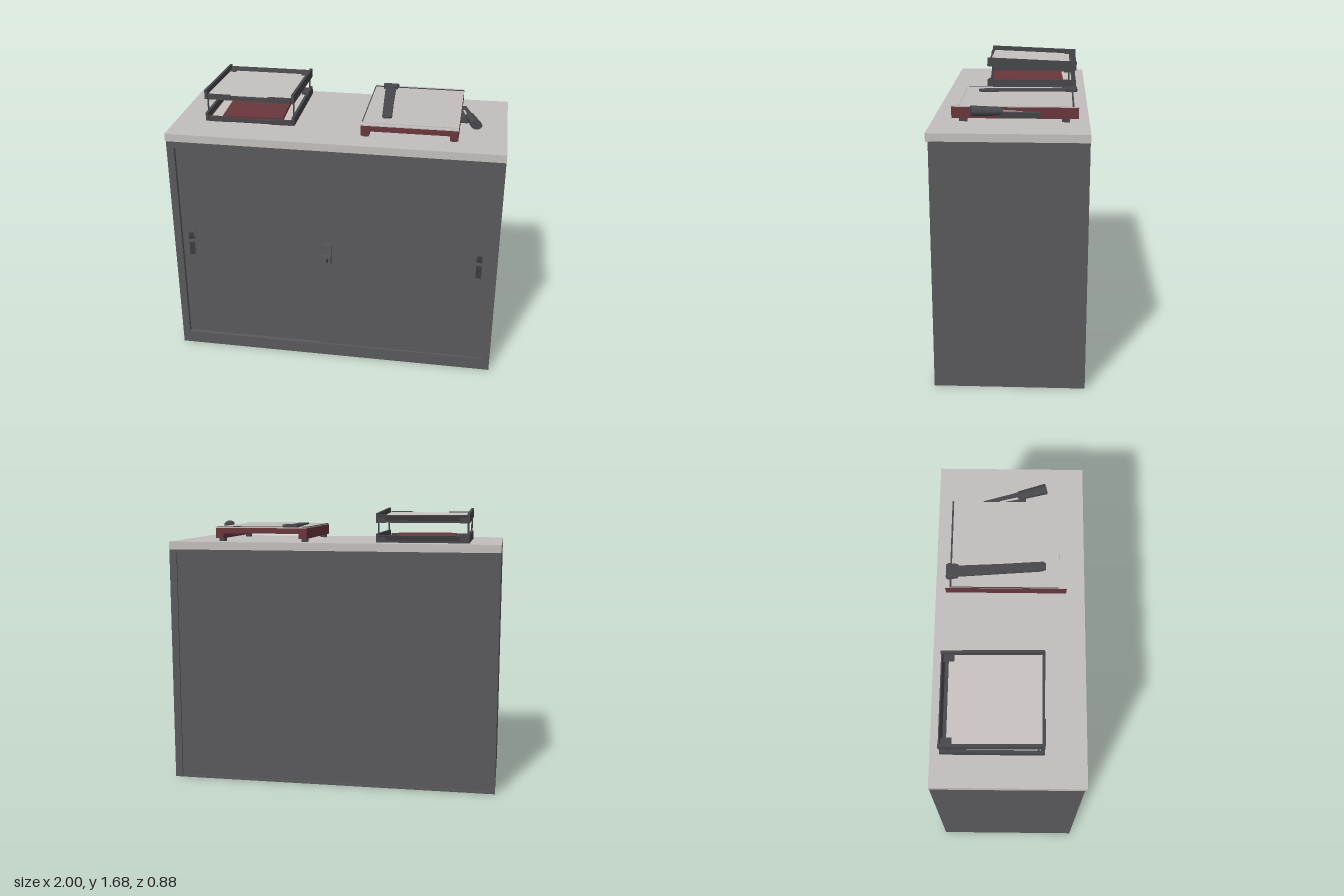
import * as THREE from 'three';

const mat = (name, color) => new THREE.MeshStandardMaterial({ name, color });

export function createModel() {
  const model = new THREE.Group();
  model.name = 'officeCabinet';
  const steel = mat('cabinet steel', 0x5a595b);
  const recess = mat('dark recess', 0x3c3c3f);
  const plastic = mat('tray plastic', 0x48484c);
  const pale = mat('pale worktop', 0xc3bfbd);
  const paper = mat('paper', 0xc8c3c1);
  const red = mat('dark red', 0x6a373c);

  // box given by its low and high corners
  const box = (parent, name, material, x0, x1, y0, y1, z0, z1) => {
    const m = new THREE.Mesh(new THREE.BoxGeometry(x1 - x0, y1 - y0, z1 - z0), material);
    m.position.set((x0 + x1) / 2, (y0 + y1) / 2, (z0 + z1) / 2);
    m.name = name;
    parent.add(m);
    return m;
  };
  const group = (name) => {
    const g = new THREE.Group();
    g.name = name;
    model.add(g);
    return g;
  };
  // flat outline in x and z, raised from y0 by a thickness
  const slab = (parent, name, material, points, y0, thickness) => {
    const shape = new THREE.Shape(points.map(([x, z]) => new THREE.Vector2(x, -z)));
    const g = new THREE.ExtrudeGeometry(shape, { depth: thickness, bevelEnabled: false });
    g.rotateX(-Math.PI / 2);
    const m = new THREE.Mesh(g, material);
    m.position.y = y0;
    m.name = name;
    parent.add(m);
    return m;
  };
  // upright rectangular frame with an opening, facing z
  const frame = (parent, name, material, o, i, z, depth) => {
    const corners = ([x0, x1, y0, y1]) =>
      [[x0, y0], [x1, y0], [x1, y1], [x0, y1]].map((p) => new THREE.Vector2(...p));
    const shape = new THREE.Shape(corners(o));
    shape.holes.push(new THREE.Path(corners(i).reverse()));
    const m = new THREE.Mesh(new THREE.ExtrudeGeometry(shape, { depth, bevelEnabled: false }), material);
    m.position.z = z;
    m.name = name;
    parent.add(m);
  };

  // cabinet carcass, frames, sliding doors and worktop
  const cabinet = group('cabinet');
  box(cabinet, 'carcass', steel, -1, 1, 0, 1.44, -0.425, 0.39);
  frame(cabinet, 'frontFrame', steel, [-1, 1, 0, 1.44], [-0.955, 0.955, 0.08, 1.39], 0.39, 0.033);
  frame(cabinet, 'backFrame', steel, [-1, 1, 0, 1.44], [-0.955, 0.955, 0.012, 1.415], -0.435, 0.01);
  box(cabinet, 'rightDoor', steel, -0.955, -0.085, 0.08, 1.39, 0.38, 0.398);
  box(cabinet, 'leftDoor', steel, -0.085, 0.955, 0.08, 1.39, 0.38, 0.41);
  box(cabinet, 'worktop', pale, -1, 1, 1.438, 1.485, -0.437, 0.437);

  // finger pulls on the outer door edges
  for (const [cx, z] of [[-0.897, 0.398], [0.892, 0.41]]) {
    box(cabinet, 'pullRecess', recess, cx - 0.018, cx + 0.018, 0.655, 0.815, z - 0.002, z + 0.001);
    frame(cabinet, 'pullRim', steel, [cx - 0.025, cx + 0.025, 0.645, 0.825],
      [cx - 0.017, cx + 0.017, 0.657, 0.813], z, 0.004);
    box(cabinet, 'pullGrip', steel, cx - 0.017, cx + 0.017, 0.745, 0.765, z, z + 0.004);
  }

  // lock where the doors meet
  box(cabinet, 'lockPlate', steel, -0.06, -0.004, 0.74, 0.81, 0.405, 0.423);
  box(cabinet, 'lockBody', steel, -0.055, -0.008, 0.68, 0.74, 0.405, 0.438);
  box(cabinet, 'lockSlot', recess, -0.037, -0.025, 0.695, 0.725, 0.437, 0.44);

  // two stacked letter trays
  const trays = group('letterTrays');
  const addTray = (name, y, tilt, height) => {
    const t = new THREE.Group();
    t.name = name;
    t.position.set(-0.54, y, -0.09);
    t.rotation.x = tilt;
    trays.add(t);
    box(t, 'trayFloor', plastic, -0.265, 0.265, 0, 0.012, -0.28, 0.28);
    for (const s of [-1, 1]) {
      const x = s * 0.267;
      box(t, 'traySide', plastic, x - 0.008, x + 0.008, 0, height, -0.29, 0.29);
      box(t, 'frontLip', plastic, s * 0.185 - 0.07, s * 0.185 + 0.07, 0, 0.032, 0.278, 0.292);
      box(t, 'backCorner', plastic, s * 0.24 - 0.022, s * 0.24 + 0.022, 0, 0.034, -0.285, -0.215);
    }
    box(t, 'frontMiddle', plastic, -0.12, 0.12, 0, 0.024, 0.275, 0.287);
    const back = box(t, 'trayBack', plastic, -0.262, 0.262, 0, height * 0.85, -0.28, -0.272);
    back.rotation.x = -0.35;
    return t;
  };
  const lower = addTray('lowerTray', 1.488, 0, 0.052);
  box(lower, 'lowerPaper', paper, -0.25, 0.25, 0.012, 0.016, -0.26, 0.27);
  const folder = box(lower, 'redFolder', red, -0.18, 0.19, 0.016, 0.036, -0.2, 0.272);
  folder.rotation.y = 0.04;
  const upper = addTray('upperTray', 1.616, -0.04, 0.055);
  box(upper, 'paperStack', paper, -0.257, 0.257, 0.012, 0.027, -0.245, 0.274);

  // wire posts between the trays
  for (const x of [-0.805, -0.275]) for (const z of [-0.33, 0.165]) {
    const post = new THREE.Mesh(new THREE.CylinderGeometry(0.005, 0.005, 0.13, 8), plastic);
    post.position.set(x, 1.575, z);
    post.name = 'trayPost';
    trays.add(post);
  }

  // paper cutter base with side rails, feet and pale cutting bed
  const cutter = group('paperCutter');
  box(cutter, 'cutterBase', red, 0.155, 0.72, 1.535, 1.568, -0.378, 0.328);
  for (const x of [0.155, 0.672]) {
    box(cutter, 'cutterRail', red, x, x + 0.048, 1.505, 1.567, -0.377, 0.327);
    for (const z of [-0.33, 0.24])
      box(cutter, 'cutterFoot', plastic, x + 0.008, x + 0.04, 1.485, 1.505, z, z + 0.045);
  }
  box(cutter, 'cuttingBed', pale, 0.155, 0.72, 1.568, 1.574, -0.378, 0.328);
  box(cutter, 'bedBackLine', plastic, 0.155, 0.72, 1.574, 1.577, -0.352, -0.342);
  box(cutter, 'bedSideLine', plastic, 0.155, 0.16, 1.574, 1.577, -0.345, 0.28);
  box(cutter, 'bedFrontRidge', pale, 0.165, 0.715, 1.574, 1.578, 0.285, 0.3);

  // ruler arm lying across the bed
  slab(cutter, 'rulerArm', plastic,
    [[0.222, -0.33], [0.29, -0.33], [0.305, -0.05], [0.322, 0.19], [0.312, 0.207], [0.272, 0.207], [0.262, 0.18]],
    1.574, 0.01);
  slab(cutter, 'rulerHead', plastic,
    [[0.215, -0.375], [0.295, -0.375], [0.305, -0.36], [0.298, -0.305], [0.215, -0.305], [0.205, -0.36]],
    1.574, 0.016);

  // blade lever and grip beside the base
  const lever = slab(cutter, 'bladeLever', plastic,
    [[0.72, -0.16], [0.742, -0.165], [0.8, 0.05], [0.76, 0.09], [0.72, 0.09]], 1.522, 0.03);
  lever.rotation.x = -0.06;
  const edge = slab(cutter, 'leverHighlight', paper,
    [[0.728, -0.07], [0.738, -0.07], [0.762, 0.035], [0.75, 0.045]], 1.552, 0.002);
  edge.rotation.x = -0.06;
  const a = new THREE.Vector3(0.773, 1.557, 0.045);
  const b = new THREE.Vector3(0.816, 1.567, 0.21);
  const grip = new THREE.Mesh(new THREE.CylinderGeometry(0.036, 0.029, a.distanceTo(b), 12), plastic);
  grip.position.copy(a).lerp(b, 0.5);
  grip.quaternion.setFromUnitVectors(new THREE.Vector3(0, 1, 0), b.clone().sub(a).normalize());
  grip.scale.z = 0.75;
  grip.name = 'leverGrip';
  cutter.add(grip);

  return model;
}
